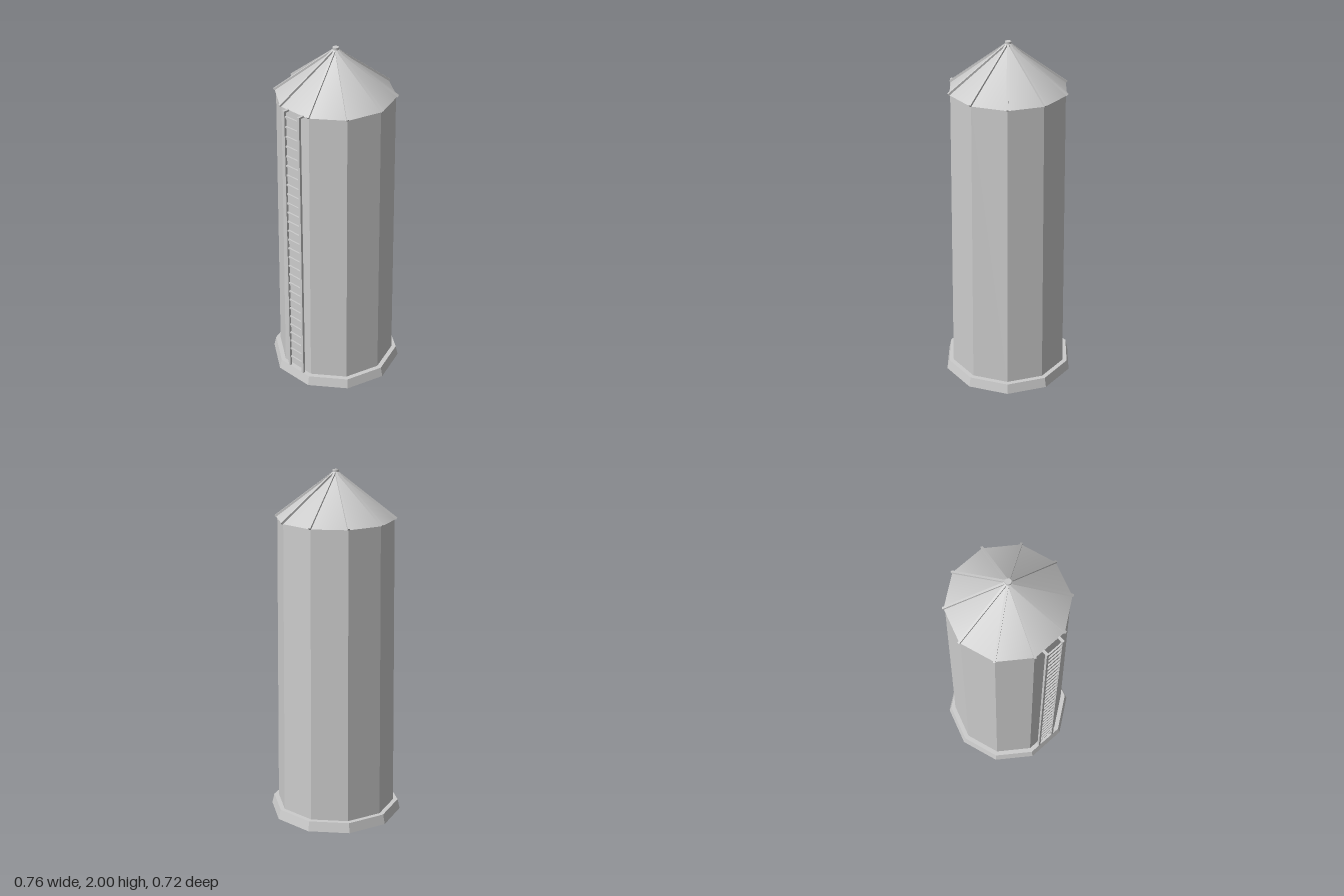
import * as THREE from 'three';

const SIDES = 10;

export function createModel() {
  const silo = new THREE.Group();
  silo.name = 'silo';
  const flat = new THREE.MeshStandardMaterial({ color: 0xcccccc, flatShading: true, side: THREE.DoubleSide });
  const smooth = new THREE.MeshStandardMaterial({ color: 0xcccccc, side: THREE.DoubleSide });

  function add(name, geometry, material = flat, parent = silo) {
    const mesh = new THREE.Mesh(geometry, material);
    mesh.name = name;
    parent.add(mesh);
    return mesh;
  }
  function box(name, w, h, d, x, y, z, parent) {
    const mesh = add(name, new THREE.BoxGeometry(w, h, d), flat, parent);
    mesh.position.set(x, y, z);
    return mesh;
  }
  // Ten-sided shell with a flat side facing the front
  const shell = (profile) => new THREE.LatheGeometry(
    profile.map(([r, y]) => new THREE.Vector2(r, y)), SIDES, Math.PI / SIDES);

  // Base ring, open in the middle
  add('baseRing', shell([[0.38, 0], [0.367, 0.056], [0.335, 0.056], [0.342, 0], [0.38, 0]]));

  // Tapering hollow tower
  add('tower', shell([[0.34, 0.05], [0.325, 1.732]]));

  // Smooth-shaded roof with a thin eave
  add('roof', shell([[0.332, 1.732], [0.005, 1.986]]), smooth);
  add('eave', shell([[0.322, 1.73], [0.332, 1.732]]));

  // Roof ribs along every corner
  const inner = new THREE.Vector2(0.008, 1.986);
  const outer = new THREE.Vector2(0.336, 1.735);
  const run = outer.clone().sub(inner);
  const ribs = new THREE.Group();
  ribs.name = 'roofRibs';
  silo.add(ribs);
  for (let i = 0; i < SIDES; i++) {
    const arm = new THREE.Group();
    arm.name = 'roofRibArm';
    arm.rotation.y = (i / SIDES) * Math.PI * 2;
    ribs.add(arm);
    const rib = box('roofRib', run.length(), 0.012, 0.012,
      (inner.x + outer.x) / 2, (inner.y + outer.y) / 2, 0, arm);
    rib.rotation.z = run.angle();
  }

  // Cap on the peak
  const cap = add('roofCap', new THREE.CylinderGeometry(0.017, 0.017, 0.022, 16), smooth);
  cap.position.y = 1.989;

  // Ladder: two rails bent back to the wall at the top, with rungs between
  const ladder = new THREE.Group();
  ladder.name = 'ladder';
  ladder.position.x = 0.008;
  silo.add(ladder);
  for (const side of [-1, 1]) {
    box('ladderRail', 0.014, 1.68, 0.014, side * 0.054, 0.895, 0.343, ladder);
    box('ladderBracket', 0.014, 0.01, 0.03, side * 0.054, 1.73, 0.322, ladder);
  }
  const rungCount = 28;
  for (let i = 0; i < rungCount; i++) {
    const y = 0.12 + (1.582 * i) / (rungCount - 1);
    box('ladderRung', 0.1, 0.009, 0.009, 0, y, 0.341, ladder);
  }

  return silo;
}
